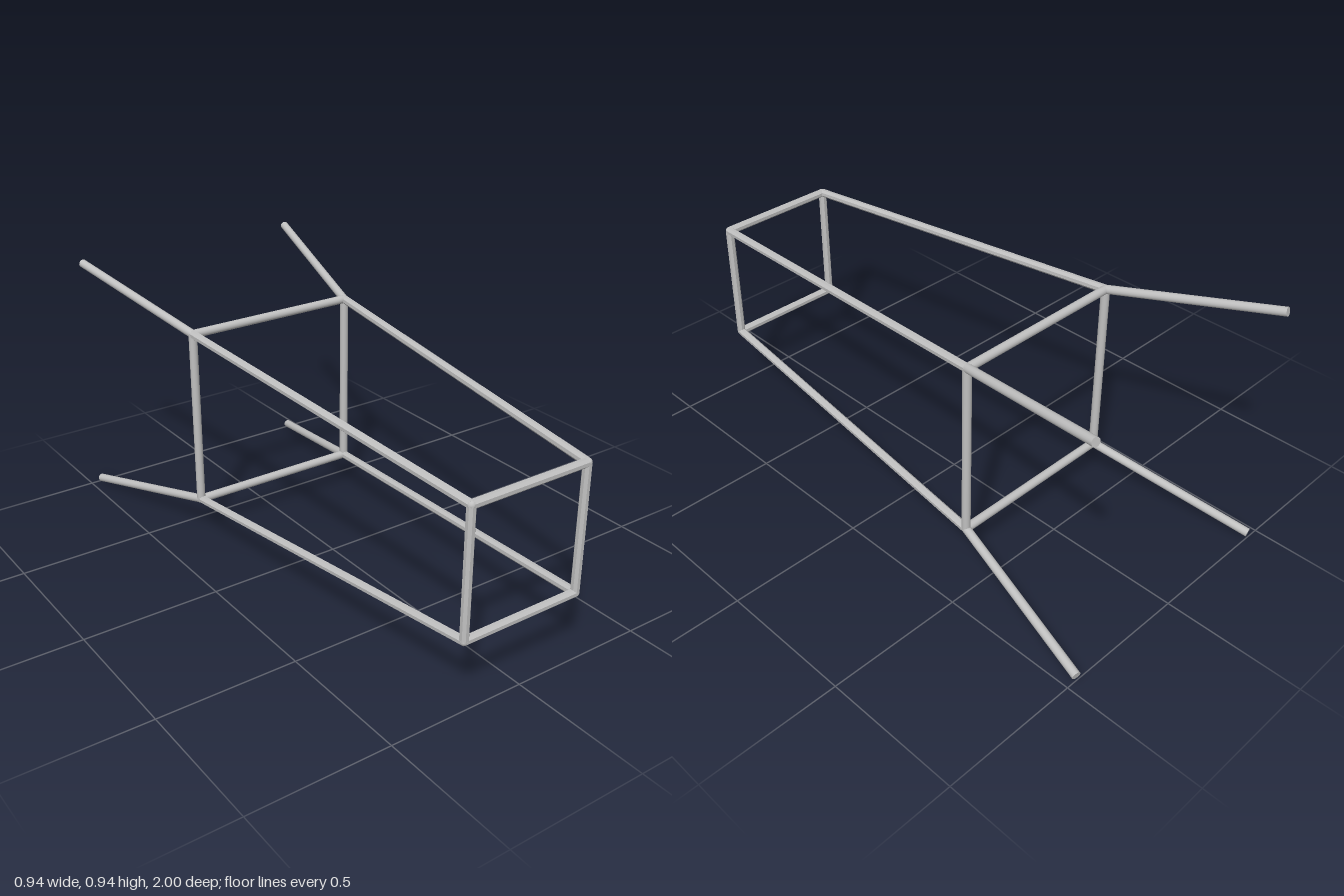
import * as THREE from 'three';

const R = 0.0155;
const CY = 0.473;

export function createModel() {
  const model = new THREE.Group();
  model.name = 'tubularFrame';
  const steel = new THREE.MeshStandardMaterial({ color: 0xc0c0c0 });
  steel.name = 'light grey steel';

  // Rod between two points; eight sides give a faceted bar, more a round one
  function rod(name, a, b, sides) {
    const dir = b.clone().sub(a);
    let geometry = new THREE.CylinderGeometry(R, R, dir.length(), sides, 1, false, Math.PI / sides);
    if (sides === 8) {
      geometry = geometry.toNonIndexed();
      geometry.computeVertexNormals();
    }
    const mesh = new THREE.Mesh(geometry, steel);
    mesh.position.copy(a).add(b).multiplyScalar(0.5);
    mesh.quaternion.setFromUnitVectors(new THREE.Vector3(0, 1, 0), dir.normalize());
    mesh.name = name;
    model.add(mesh);
  }

  // Corners of a square in the plane z, in order around the square
  const square = (half, z) => [[1, 1], [-1, 1], [-1, -1], [1, -1]].map(
    ([sx, sy]) => new THREE.Vector3(sx * half, CY + sy * half, z));

  const front = square(0.227, 0.985);
  const middle = square(0.328, -0.39);
  const rear = square(0.456, -0.996);

  for (let i = 0; i < 4; i++) {
    const next = (i + 1) % 4;
    rod('frontFrameBar', front[i], front[next], 8);
    rod('middleFrameBar', middle[i], middle[next], 16);
    rod('longRail', front[i], middle[i], 8);
    rod('splayedLeg', middle[i], rear[i], 16);

    // Rounded joints close the corners
    for (const p of [front[i], middle[i]]) {
      const joint = new THREE.Mesh(new THREE.SphereGeometry(R * 0.97, 16, 10), steel);
      joint.position.copy(p);
      joint.name = 'joint';
      model.add(joint);
    }
  }
  return model;
}
